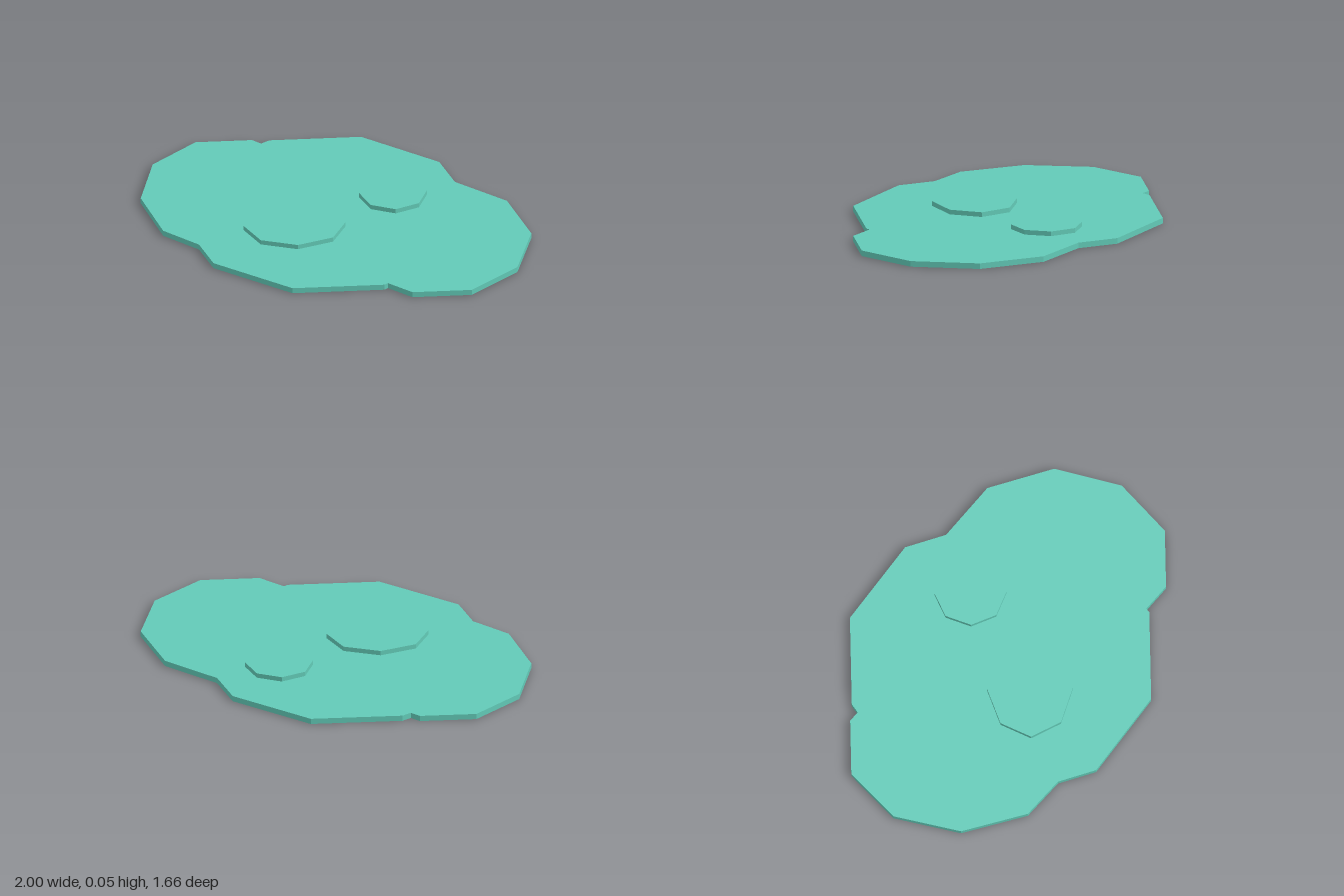
import * as THREE from 'three';

export function createModel() {
  const group = new THREE.Group();
  const teal = new THREE.MeshStandardMaterial({ color: 0x62cab7 });
  teal.name = 'teal';

  // Flat pad: outline as [x, z], extruded upwards
  const outline = [
    [-0.67, -0.83], [-0.375, -0.83], [-0.33, -0.79], [-0.285, -0.82], [0.195, -0.82],
    [0.58, -0.525], [0.645, -0.31], [0.9, -0.09], [1, 0.26], [0.9, 0.61],
    [0.645, 0.83], [0.335, 0.83], [0.215, 0.725], [0.195, 0.74], [-0.285, 0.74],
    [-0.675, 0.445], [-0.735, 0.245], [-0.91, 0.085], [-1, -0.265], [-0.91, -0.615],
  ];
  const shape = new THREE.Shape(outline.map(([x, z]) => new THREE.Vector2(x, z)));
  const padHeight = 0.03;
  const padGeometry = new THREE.ExtrudeGeometry(shape, { depth: padHeight, bevelEnabled: false });
  padGeometry.rotateX(Math.PI / 2).translate(0, padHeight, 0);
  const pad = new THREE.Mesh(padGeometry, teal);
  pad.name = 'pad';
  group.add(pad);

  // Raised eight-sided discs, slightly sunk into the pad
  function addDisc(name, x, z, rx, rz) {
    const bottom = 0.025, top = 0.055;
    const geometry = new THREE.CylinderGeometry(1, 1, top - bottom, 8).toNonIndexed();
    geometry.scale(rx, 1, rz);
    geometry.computeVertexNormals();
    const disc = new THREE.Mesh(geometry, teal);
    disc.name = name;
    disc.position.set(x, (top + bottom) / 2, z);
    group.add(disc);
  }
  addDisc('largeDisc', -0.225, 0.11, 0.267, 0.223);
  addDisc('smallDisc', 0.312, -0.19, 0.178, 0.187);

  return group;
}
